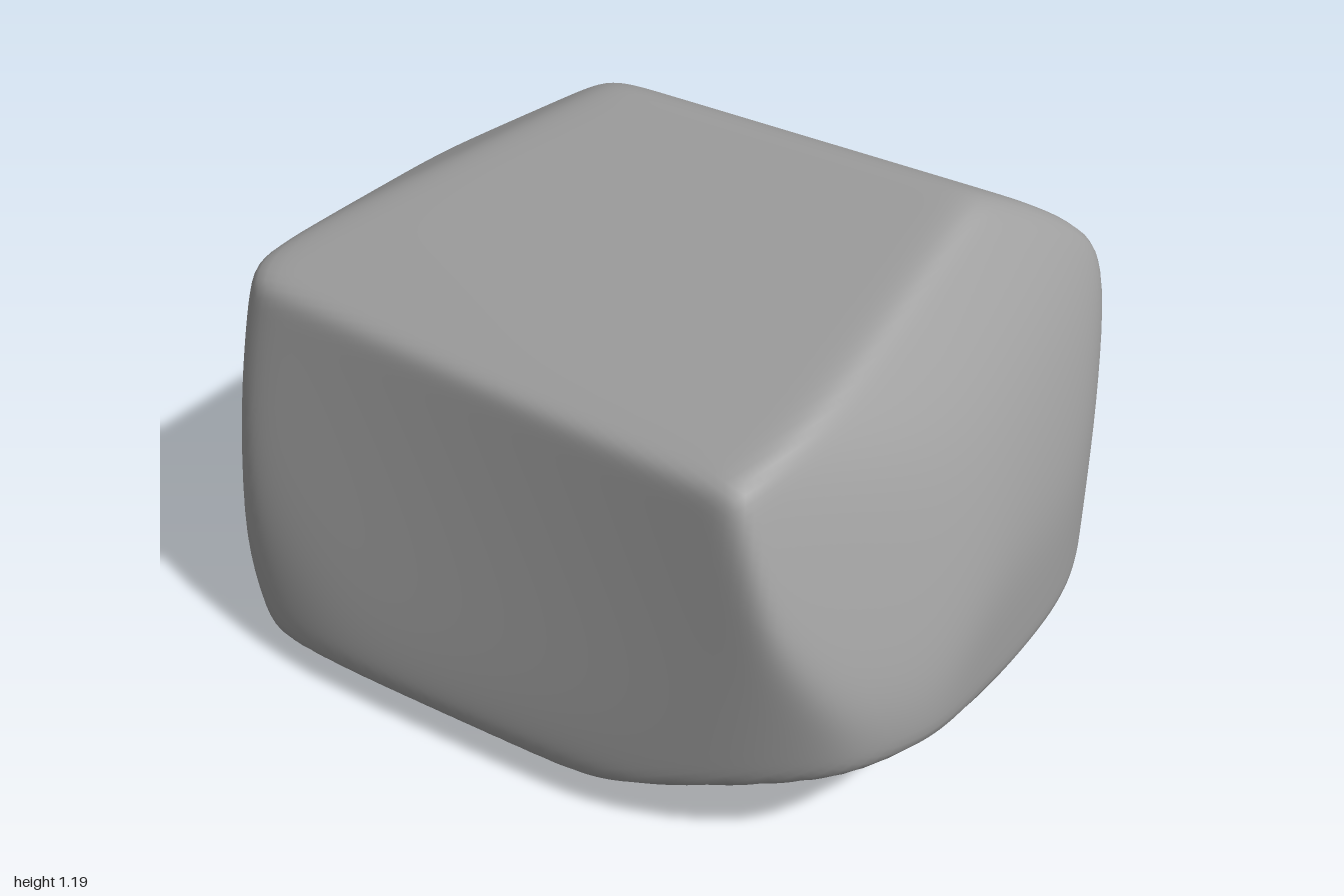
import * as THREE from 'three';
import { mergeVertices } from 'three/addons/utils/BufferGeometryUtils.js';

// Facets of the boulder: outward direction x, y, z, and offset (n . p = offset)
const TOP = [
  [0, 1, 0.25, 1.107],      // sloping top
  [-0.55, 1, 0, 1.43],      // left slope
  [0, 1, -0.45, 1.365],     // back slope
  [0, 1, -0.85, 1.585],     // back shoulder
];
const FRONT = [
  [0, 0.21, 1, 0.825],      // main face, leaning back
  [0, 0, 1, 0.795],         // foot
  [-0.2, 0, 1, 0.875],      // left turn
  [0.25, 0, 1, 0.89],       // right turn
  [0.6, 0, 1, 1.155],       // right corner
  [-1, 0, 1, 1.48],         // left corner
  [-1, 0.3, 1, 1.69],       // left upper corner
  [-1, -0.5, 1, 1.37],      // left lower corner
];
const BACK = [
  [0, 0, -1, 0.8],          // edge
  [0.1, 0, -1, 0.79],       // main face
  [0, 0.2, -1, 0.91],       // lean
  [0, 0.5, -1, 1.165],      // upper lean
  [0.3, 0, -1, 0.91],       // right turn
  [-1, 0, -1, 1.5],         // left corner
  [-1, 0.7, -0.6, 1.61],    // broad chip on the upper left corner
];
const RIGHT = [
  [1, 0, 0, 1.005],         // edge
  [1, 0.32, 0, 1.18],       // lower lean
  [1, 0.6, 0.1, 1.39],      // middle lean
  [1, 0.94, 0.18, 1.69],    // upper lean
  [1, 0.5, 0.35, 1.33],     // front slant
  [1, 0, 0.5, 1.21],        // front corner
  [1, 0, -0.3, 1.095],      // back turn
  [1, 0, -0.6, 1.245],      // back corner
];
const LEFT = [
  [-1, 0, 0, 1.005],        // edge
  [-1, 0.6, 0, 1.42],       // shoulder
  [-1, 0, -0.4, 1.13],      // back corner
  [-1, 0, 0.5, 1.165],      // front corner
];
const BASE = [
  [0, -1, 0, 0],            // ground
  [0.12, -1, 0, 0.01],      // gentle rise to the right
  [0.36, -1, 0.13, 0.15],   // right front undercut
  [0.34, -1, -0.08, 0.138], // right back undercut
  [-0.15, -1, 0, 0.095],    // left
  [-1, -0.6, 0, 0.945],     // left lower edge
  [0, -1, 0.2, 0.105],      // front
  [0, -1, 1, 0.7],          // front lower edge
  [0, -1, -0.2, 0.105],     // back
  [0, -1, -1, 0.69],        // back lower edge
];
const FACETS = [...TOP, ...FRONT, ...BACK, ...RIGHT, ...LEFT, ...BASE];
const CENTRE = new THREE.Vector3(0, 0.55, 0);
const SHARPNESS = 45;

// Distance from the centre to the softly blended facets along a direction
function radius(d) {
  let sum = 0;
  for (const [x, y, z, offset] of FACETS) {
    const t = (x * d.x + y * d.y + z * d.z) / (offset - y * CENTRE.y);
    if (t > 0) sum += Math.pow(t, SHARPNESS);
  }
  return Math.pow(sum, -1 / SHARPNESS);
}

function boulderGeometry() {
  let geo = new THREE.IcosahedronGeometry(1, 50);
  geo.deleteAttribute('uv');
  geo.deleteAttribute('normal');
  geo = mergeVertices(geo, 1e-5);
  const pos = geo.attributes.position;
  const v = new THREE.Vector3();
  for (let i = 0; i < pos.count; i++) {
    v.fromBufferAttribute(pos, i).normalize();
    v.multiplyScalar(radius(v)).add(CENTRE);
    // Twist the front: it leans back more on one side than the other
    v.z += THREE.MathUtils.smoothstep(v.z, 0, 0.7) * v.x * (0.12 * v.y - 0.06);
    pos.setXYZ(i, v.x, v.y, v.z);
  }
  geo.computeVertexNormals();
  return geo;
}

export function createModel() {
  const stone = new THREE.MeshStandardMaterial({ color: 0x9c9c9c });
  stone.name = 'stone grey';
  const boulder = new THREE.Mesh(boulderGeometry(), stone);
  boulder.name = 'boulder';
  const group = new THREE.Group();
  group.name = 'rock';
  group.add(boulder);
  return group;
}
